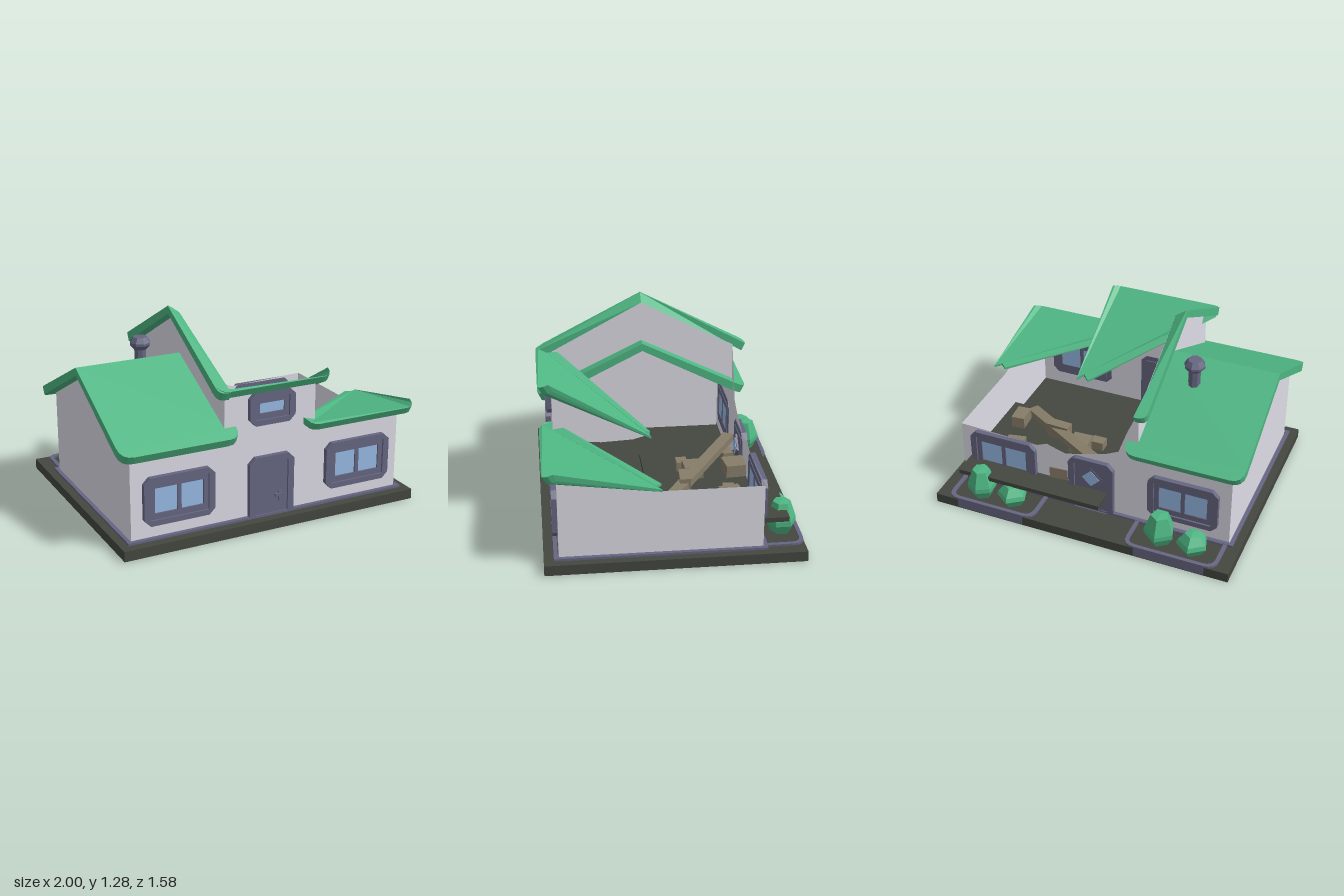
import * as THREE from 'three';

const mat = (name, color, extra = {}) => {
  const m = new THREE.MeshStandardMaterial({ color, ...extra });
  m.name = name;
  return m;
};

export function createModel() {
  const wallMat = mat('plaster', 0xdddce6, { side: THREE.DoubleSide });
  const roofMat = mat('roof green', 0x4eb683, { flatShading: true });
  const trimMat = mat('slate trim', 0x666682, { flatShading: true });
  const glassMat = mat('glass blue', 0x98bae6);
  const darkMat = mat('dark ground', 0x444740);
  const woodMat = mat('wood', 0x867c68);

  const root = new THREE.Group();
  root.name = 'ruinedHouse';
  const add = (name, geo, material, parent = root) => {
    const m = new THREE.Mesh(geo, material);
    m.name = name;
    parent.add(m);
    return m;
  };
  const box = (name, w, h, d, x, y, z, material, parent) => {
    const m = add(name, new THREE.BoxGeometry(w, h, d), material, parent);
    m.position.set(x, y, z);
    return m;
  };
  const poly = pts => new THREE.Shape(pts.map(p => new THREE.Vector2(...p)));
  // rectangle with top and bottom corner cuts
  const chamfer = (x0, y0, x1, y1, t = 0, b = t) => poly([
    [x0 + b, y0], [x1 - b, y0], [x1, y0 + b], [x1, y1 - t],
    [x1 - t, y1], [x0 + t, y1], [x0, y1 - t], [x0, y0 + b]]
    .filter((p, i, a) => i === 0 || p[0] !== a[i - 1][0] || p[1] !== a[i - 1][1]));
  const extrude = (shape, depth, holes = []) => {
    shape.holes.push(...holes);
    return new THREE.ExtrudeGeometry(shape, { depth, bevelEnabled: false, curveSegments: 4 })
      .translate(0, 0, -depth / 2);
  };

  // ground slab, house plinth trim, raised inner floor
  box('groundSlab', 2, 0.065, 1.58, 0, 0.0325, 0, darkMat);
  const plinth = extrude(chamfer(-0.95, -0.73, 0.95, 0.555), 0.015,
    [chamfer(-0.925, -0.705, 0.925, 0.53)]).rotateX(-Math.PI / 2);
  add('plinthTrim', plinth, trimMat).position.y = 0.0725;
  box('innerFloor', 0.98, 0.03, 0.815, 0.38, 0.22, -0.2875, darkMat);

  // walls lying across z
  const wallZ = (name, z, pts) =>
    add(name, new THREE.ShapeGeometry(poly(pts)), wallMat).position.z = z;
  wallZ('frontWall', 0.7, [[-0.92, 0.06], [0.92, 0.06], [0.92, 0.58], [0.31, 0.58],
    [0.31, 0.89], [-0.31, 0.89], [-0.31, 0.63], [-0.92, 0.63]]);
  wallZ('brokenBackWall', -0.53, [[-0.92, 0.06], [0.92, 0.06], [0.92, 0.48], [0.38, 0.46],
    [0.31, 0.49], [0.25, 0.47], [0.18, 0.45], [0.06, 0.48], [-0.1, 0.53], [-0.18, 0.57],
    [-0.24, 0.74], [-0.31, 0.9], [-0.31, 0.63], [-0.92, 0.63]]);
  // walls lying across x, points given as (z, y)
  const wallX = (name, x, pts) => add(name,
    new THREE.ShapeGeometry(poly(pts)).rotateY(-Math.PI / 2), wallMat).position.x = x;
  wallX('leftWingGable', -0.92, [[0.7, 0.06], [0.7, 0.63], [0.085, 0.93], [-0.53, 0.63], [-0.53, 0.06]]);
  wallX('upperGable', -0.312, [[0.7, 0.63], [0.7, 0.92], [0.085, 1.237], [-0.53, 0.92],
    [-0.53, 0.63], [0.085, 0.93]]);
  wallX('brokenSideWall', 0.92, [[0.7, 0.06], [0.7, 0.58], [0.09, 0.48], [-0.53, 0.48], [-0.53, 0.06]]);
  wallX('brokenInnerWall', 0.31, [[0.7, 0.56], [0.7, 0.88], [0.09, 0.57], [0.2, 0.54], [0.4, 0.53]]);

  // roof slab: plan outline (x, -z) raised to height(z) with thickness thick(z);
  // inset(x, z) shifts the top face sideways where the cut edge is slanted
  const ridgeZ = 0.085;
  const roofSlab = (name, shape, height, thick, inset = () => 0) => {
    const g = new THREE.ExtrudeGeometry(shape, { depth: 1, bevelEnabled: false, curveSegments: 4 });
    const p = g.attributes.position;
    for (let i = 0; i < p.count; i++) {
      const x = p.getX(i), z = -p.getY(i), low = 1 - p.getZ(i);
      const pull = 0.025 * low * (z - ridgeZ) / 0.705;
      p.setXYZ(i, x - inset(x, z) * (1 - low), height(z) - thick(z) * low, z - pull);
    }
    g.computeVertexNormals();
    return add(name, g, roofMat);
  };
  // half roof from ridge to eave with rounded eave corners
  const halfRoof = (name, x0, x1, ridgeY, slope, dir, r0, r1, cut) => {
    const e = dir > 0 ? -0.785 : 0.615, r = -ridgeZ, s = new THREE.Shape();
    const k = Math.sign(r - e);
    s.moveTo(x0, r);
    s.lineTo(x0, e + k * r0);
    s.quadraticCurveTo(x0, e, x0 + r0, e);
    s.lineTo(x1 - r1, e);
    s.quadraticCurveTo(x1, e, x1, e + k * r1);
    s.lineTo(x1, r);
    roofSlab(name, s, z => ridgeY - slope * Math.abs(z - ridgeZ), () => 0.05,
      (x, z) => cut * (x - x0) / (x1 - x0) * Math.max(0, 1 - Math.abs(z - ridgeZ) / 0.7));
  };
  for (const [side, dir] of [['Front', 1], ['Back', -1]]) {
    halfRoof('leftWingRoof' + side, -1, -0.235, 0.975, 0.485, dir, 0.08, 0.08, 0);
    halfRoof('upperRoofStrip' + side, -0.387, -0.31, 1.285, 0.515, dir, 0.05, 0.005, 0.07);
  }
  // collapsed roof pieces, sagging inwards from the front eave
  const sagRoof = (name, x0, x1, eaveY, tipY) => {
    const s = new THREE.Shape();
    s.moveTo(x0 + 0.07, -0.785);
    s.lineTo(x1 - 0.06, -0.785);
    s.quadraticCurveTo(x1, -0.785, x1, -0.72);
    s.lineTo(x1, -0.09);
    s.lineTo(x1 - 0.04, -0.125);
    s.lineTo(x1 - 0.08, -0.09);
    s.lineTo(x0, -0.7);
    s.quadraticCurveTo(x0, -0.785, x0 + 0.07, -0.785);
    const t = z => (z - 0.09) / 0.695, fold = 0.72;
    const crest = eaveY + (0.785 - fold) * 0.45;
    roofSlab(name, s,
      z => z > fold ? eaveY + (0.785 - z) * 0.45 : tipY + (crest - tipY) * (z - 0.09) / (fold - 0.09),
      z => 0.015 + 0.03 * t(z));
  };
  sagRoof('saggingUpperRoof', -0.385, 0.38, 0.93, 0.585);
  sagRoof('saggingWingRoof', 0.23, 1, 0.63, 0.53);

  // windows: outer frame, inner frame, panes; the frame stands on the outside of the wall
  const windowUnit = (name, x, y, z, w, h, panes) => {
    const g = new THREE.Group();
    g.name = name;
    g.position.set(x, y, z);
    g.rotation.y = z > 0 ? 0 : Math.PI;
    root.add(g);
    const a = w / 2, b = h / 2, ia = a - 0.04, ib = b - 0.035;
    add('outerFrame', extrude(chamfer(-a, -b, a, b, 0.04), 0.037,
      [chamfer(-ia, -ib, ia, ib, 0.005)]), trimMat, g).position.z = 0.0135;
    const pa = ia - 0.032, pb = ib - 0.038, gap = 0.026;
    const spans = panes === 2 ? [[-pa, -gap / 2], [gap / 2, pa]] : [[-pa, pa]];
    add('innerFrame', extrude(chamfer(-ia, -ib, ia, ib), 0.03,
      spans.map(([l, r]) => chamfer(l, -pb, r, pb))), trimMat, g).position.z = 0.005;
    for (const [l, r] of spans) box('pane', r - l, pb * 2, 0.016, (l + r) / 2, 0, 0.003, glassMat, g);
  };
  for (const z of [0.7, -0.53]) for (const s of [-1, 1])
    windowUnit(z > 0 ? 'frontWindow' : 'backWindow', s * 0.615, 0.31, z, 0.46, 0.305, 2);
  windowUnit('upperWindow', 0, 0.769, 0.7, 0.31, 0.21, 1);

  // doors
  for (const [name, z] of [['frontDoor', 0.7], ['backDoor', -0.53]]) {
    const g = new THREE.Group(), out = Math.sign(z);
    g.name = name;
    g.position.z = z;
    root.add(g);
    add('doorFrame', extrude(chamfer(-0.153, 0.066, 0.153, 0.46, 0.04, 0), 0.037,
      [chamfer(-0.112, 0.068, 0.112, 0.425, 0.01, 0)]), trimMat, g).position.z = out * 0.0135;
    box('doorLeaf', 0.224, 0.355, 0.03, 0, 0.246, out * 0.005, trimMat, g);
    box('handlePlate', 0.022, 0.065, 0.012, 0.06, 0.185, out * 0.025, trimMat, g);
    box('handleBar', 0.05, 0.018, 0.014, 0.045, 0.195, out * 0.033, trimMat, g);
    if (out < 0) {
      box('diamondFrame', 0.115, 0.115, 0.046, 0, 0.32, 0, trimMat, g).rotation.z = Math.PI / 4;
      box('diamondPane', 0.085, 0.085, 0.052, 0, 0.32, 0, glassMat, g).rotation.z = Math.PI / 4;
    }
  }

  // chimney pot
  const chimney = add('chimney', new THREE.LatheGeometry([[0.04, 0.86], [0.04, 0.98],
    [0.067, 1.01], [0.067, 1.025], [0.045, 1.06], [0, 1.06]].map(p => new THREE.Vector2(...p)), 8), trimMat);
  chimney.position.set(-0.505, 0, -0.085);

  // rear planting beds: curbs set into the slab edge, and faceted bushes
  const rounded = (x0, x1, y0, y1, r) => {
    const s = new THREE.Shape();
    s.moveTo(x0, y0);
    s.lineTo(x1, y0);
    s.lineTo(x1, y1 - r);
    s.quadraticCurveTo(x1, y1, x1 - r, y1);
    s.lineTo(x0 + r, y1);
    s.quadraticCurveTo(x0, y1, x0, y1 - r);
    return s;
  };
  for (const s of [-1, 1]) {
    const g = extrude(rounded(-0.305, 0.305, 0.55, 0.791, 0.08), 0.074,
      [rounded(-0.28, 0.28, 0.56, 0.766, 0.06)]).rotateX(-Math.PI / 2);
    add('bedCurb', g, trimMat).position.set(s * 0.612, 0.041, 0);
  }
  const lowBush = [[0.65, 0], [1, 0.4], [0.9, 0.6], [0.5, 0.95], [0, 1]];
  const tallBush = [[0.65, 0], [1, 0.3], [1, 0.45], [0.6, 0.97], [0, 1]];
  for (const [x, z, r, h, n, prof] of [[-0.73, -0.67, 0.103, 0.145, 5, lowBush],
    [-0.51, -0.66, 0.1, 0.21, 5, tallBush], [0.5, -0.67, 0.103, 0.145, 5, lowBush],
    [0.72, -0.675, 0.092, 0.21, 6, tallBush]]) {
    const bush = add('bush', new THREE.LatheGeometry(
      prof.map(([a, b]) => new THREE.Vector2(a * r, b * h)), n), roofMat);
    bush.position.set(x, 0.066, z);
    bush.rotation.y = Math.PI;
  }

  // rubble: blocks and a fallen beam on the inner floor
  for (const [x, z, w, d, h, a] of [[0.225, -0.465, 0.15, 0.14, 0.08, 0.1], [0.02, -0.44, 0.13, 0.07, 0.07, 0.15],
    [0.53, -0.375, 0.08, 0.07, 0.06, -0.15], [0.62, -0.38, 0.12, 0.13, 0.08, 0.2],
    [0.23, -0.19, 0.13, 0.12, 0.08, 0.05], [0.13, -0.13, 0.09, 0.07, 0.06, 0],
    [0.42, -0.115, 0.15, 0.07, 0.1, -0.05], [0.725, -0.075, 0.09, 0.13, 0.08, 0.08]])
    box('rubbleBlock', w, h, d, x, 0.235 + h / 2, z, woodMat).rotation.y = a;
  const beam = box('fallenBeam', 0.95, 0.045, 0.075, 0.31, 0.305, -0.21, woodMat);
  beam.rotation.set(0, -0.6, -0.1, 'YXZ');

  return root;
}
